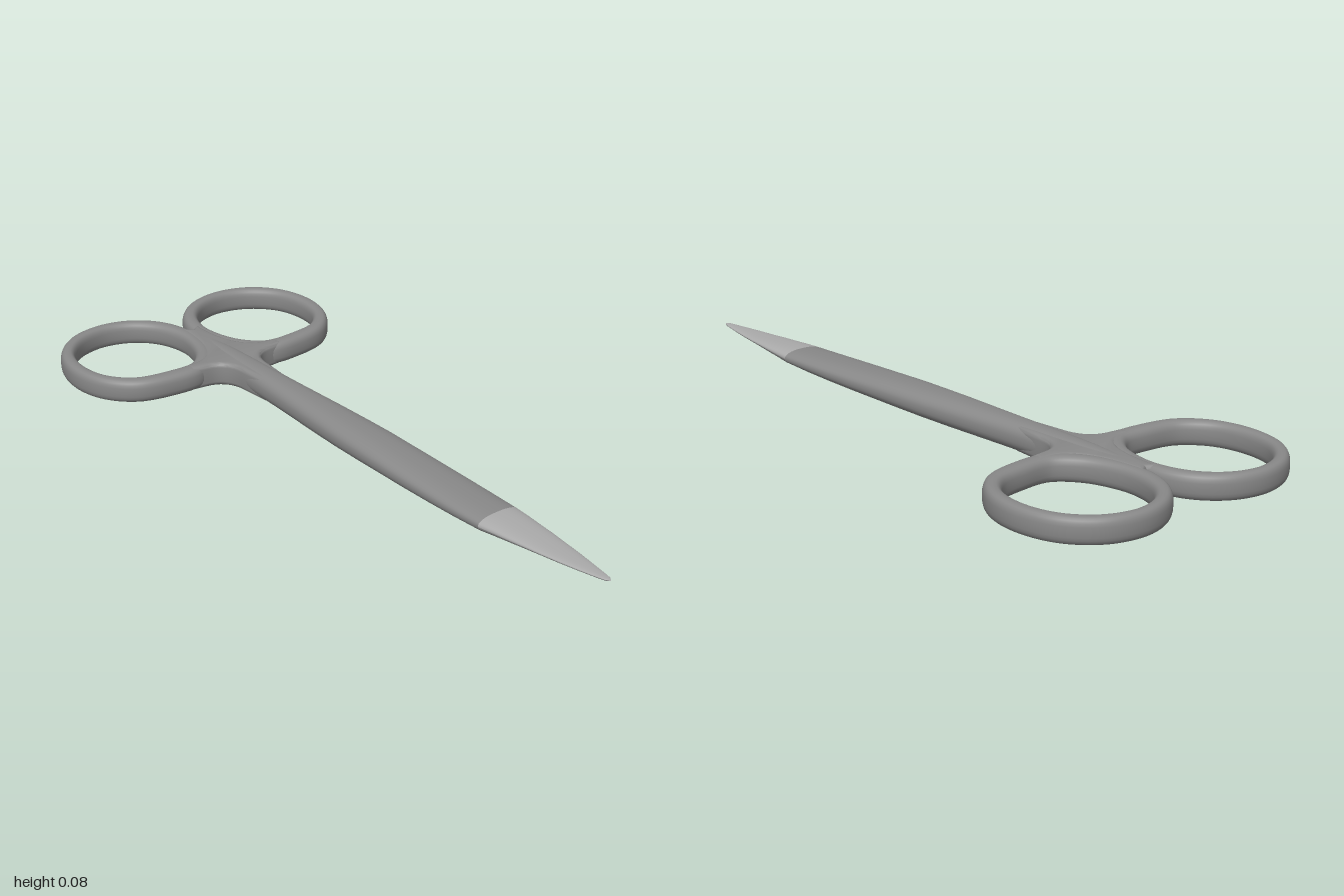
import * as THREE from 'three';
import { mergeVertices, toCreasedNormals } from 'three/addons/utils/BufferGeometryUtils.js';

const steel = new THREE.MeshStandardMaterial({ color: 0x888888 });
const groundSteel = new THREE.MeshStandardMaterial({ color: 0xaaaaaa });

// Smooth skin over a grid of points; columns wrap, rows wrap when closed
function skin(rows, cols, closed, pointAt) {
  const pos = [], index = [];
  for (let i = 0; i < rows; i++)
    for (let j = 0; j < cols; j++) pos.push(...pointAt(i, (j / cols) * Math.PI * 2));
  for (let i = 0; i < (closed ? rows : rows - 1); i++)
    for (let j = 0; j < cols; j++) {
      const a = i * cols + j, b = i * cols + ((j + 1) % cols);
      const c = ((i + 1) % rows) * cols + j, d = ((i + 1) % rows) * cols + ((j + 1) % cols);
      index.push(a, b, c, b, d, c);
    }
  const g = new THREE.BufferGeometry();
  g.setAttribute('position', new THREE.Float32BufferAttribute(pos, 3));
  g.setIndex(index);
  g.computeVertexNormals();
  return g;
}

// Rounded-square power of a sine or cosine
const soft = (v, n) => Math.sign(v) * Math.pow(Math.abs(v), 2 / n);

// Loft along z through stations [z, halfWidth, bottom, top];
// min and max cut the section flat, to leave only its upper or lower half
function loft(stations, min = -1, max = 1) {
  return skin(stations.length, 40, false, (i, a) => {
    const [z, w, lo, hi] = stations[i];
    const v = THREE.MathUtils.clamp(soft(Math.sin(a), 2.4), min, max);
    return [w * soft(Math.cos(a), 2.4), (lo + hi) / 2 + ((hi - lo) / 2) * v, z];
  });
}

// Finger ring: rounded band swept round a loop of [x, halfThickness, z]
function fingerRing(side) {
  const path = [
    [0.215, 0.021, -0.977], [0.31, 0.022, -0.951], [0.382, 0.022, -0.877], [0.408, 0.023, -0.77],
    [0.386, 0.023, -0.665], [0.32, 0.026, -0.594], [0.22, 0.029, -0.57], [0.125, 0.029, -0.574],
    [0.06, 0.026, -0.638], [0.028, 0.024, -0.74], [0.031, 0.025, -0.825], [0.065, 0.024, -0.902],
    [0.128, 0.022, -0.956],
  ].map(([x, w, z]) => new THREE.Vector3(x * side, w, z));
  const curve = new THREE.CatmullRomCurve3(path, true);
  const steps = 96;
  return skin(steps, 24, true, (i, a) => {
    const p = curve.getPoint(i / steps), t = curve.getTangent(i / steps);
    const len = Math.hypot(t.x, t.z);
    const out = p.y * soft(Math.cos(a), 2.7);
    return [p.x + (out * t.z) / len, 0.045 + 0.035 * soft(Math.sin(a), 2.7), p.z - (out * t.x) / len];
  });
}

// Web joining both rings to the shank, with a notch behind and fillets in front
function hubGeometry() {
  const s = new THREE.Shape();
  s.moveTo(0, -0.79);
  s.lineTo(0.03, -0.81);
  s.quadraticCurveTo(0.03, -0.66, 0.075, -0.615);
  s.quadraticCurveTo(0.1, -0.585, 0.16, -0.585);
  s.lineTo(0.16, -0.548);
  s.lineTo(0.11, -0.542);
  s.quadraticCurveTo(0.045, -0.535, 0.044, -0.45);
  s.lineTo(0.036, -0.36);
  s.lineTo(-0.036, -0.36);
  s.lineTo(-0.044, -0.45);
  s.quadraticCurveTo(-0.045, -0.535, -0.11, -0.542);
  s.lineTo(-0.16, -0.548);
  s.lineTo(-0.16, -0.585);
  s.quadraticCurveTo(-0.1, -0.585, -0.075, -0.615);
  s.quadraticCurveTo(-0.03, -0.66, -0.03, -0.81);
  s.closePath();
  const g = new THREE.ExtrudeGeometry(s, {
    depth: 0.044, curveSegments: 10, bevelEnabled: true,
    bevelSize: 0.014, bevelOffset: -0.014, bevelThickness: 0.014, bevelSegments: 4,
  });
  g.rotateX(Math.PI / 2).translate(0, 0.067, 0);
  g.deleteAttribute('normal');
  g.deleteAttribute('uv');
  return toCreasedNormals(mergeVertices(g, 1e-4), 0.7);
}

export function createModel() {
  const model = new THREE.Group();
  model.name = 'scissors';
  const add = (name, geometry, material = steel) => {
    const mesh = new THREE.Mesh(geometry, material);
    mesh.name = name;
    model.add(mesh);
  };

  add('leftFingerRing', fingerRing(1));
  add('rightFingerRing', fingerRing(-1));
  add('hub', hubGeometry());

  // Closed shanks and blades, rising out of the hub and swelling forward
  add('shank', loft([
    [-0.78, 0.02, 0.012, 0.078], [-0.7, 0.028, 0.009, 0.081], [-0.6, 0.038, 0.007, 0.084],
    [-0.5, 0.043, 0.006, 0.085], [-0.4, 0.044, 0.006, 0.086], [-0.3, 0.048, 0.006, 0.086],
    [-0.2, 0.054, 0.006, 0.086], [-0.1, 0.06, 0.006, 0.086], [0, 0.065, 0.007, 0.085],
    [0.1, 0.068, 0.009, 0.084], [0.2, 0.069, 0.011, 0.081], [0.3, 0.07, 0.013, 0.078],
    [0.4, 0.07, 0.016, 0.075], [0.5, 0.069, 0.02, 0.072], [0.6, 0.067, 0.026, 0.069],
  ]));

  // Tapered blade tips, ground brighter on the upper face
  const tip = [
    [0.6, 0.067, 0.026, 0.069], [0.65, 0.062, 0.032, 0.068], [0.7, 0.056, 0.037, 0.066],
    [0.75, 0.05, 0.042, 0.065], [0.8, 0.043, 0.046, 0.063], [0.86, 0.034, 0.049, 0.063],
    [0.92, 0.023, 0.052, 0.063], [0.97, 0.013, 0.055, 0.063], [0.99, 0.008, 0.057, 0.063],
    [1, 0, 0.06, 0.06],
  ];
  add('bladeTipUpper', loft(tip, 0, 1), groundSteel);
  add('bladeTipLower', loft(tip, -1, 0));

  return model;
}
